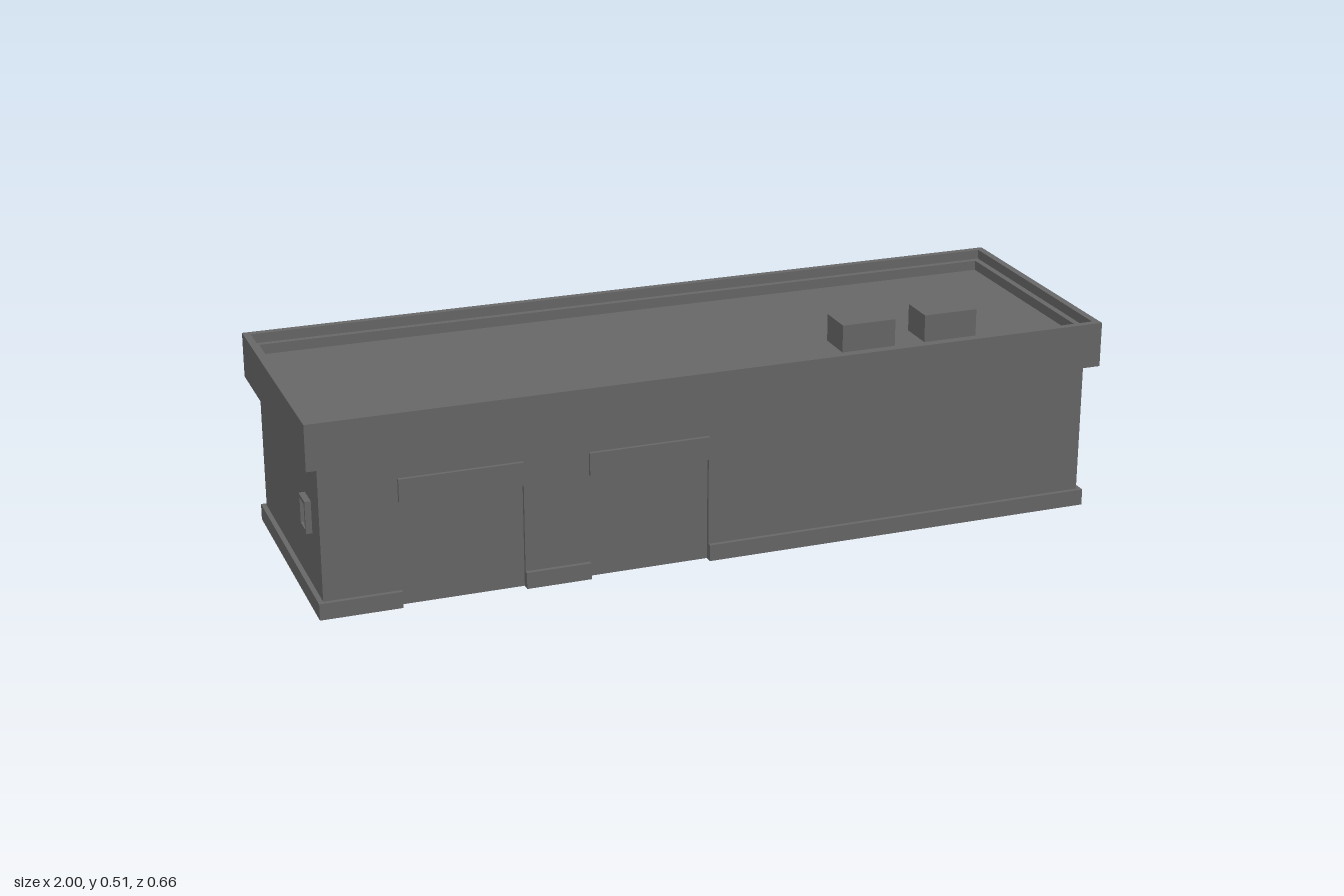
import * as THREE from 'three';

const material = new THREE.MeshStandardMaterial({ color: 0x666666, flatShading: true, side: THREE.DoubleSide });

export function createModel() {
  const model = new THREE.Group();
  model.name = 'building';

  const add = (name, geometry) => {
    const mesh = new THREE.Mesh(geometry, material);
    mesh.name = name;
    model.add(mesh);
    return mesh;
  };
  // Box given by its limits on each axis
  const box = (name, x0, x1, y0, y1, z0, z1) =>
    add(name, new THREE.BoxGeometry(x1 - x0, y1 - y0, z1 - z0))
      .position.set((x0 + x1) / 2, (y0 + y1) / 2, (z0 + z1) / 2);
  // Anticlockwise rectangle as points
  const rect = (x0, x1, y0, y1) =>
    [[x0, y0], [x1, y0], [x1, y1], [x0, y1]].map(([x, y]) => new THREE.Vector2(x, y));
  // Rectangular frame with a rectangular hole, border wide
  const frame = (x0, x1, y0, y1, border, depth) => {
    const shape = new THREE.Shape(rect(x0, x1, y0, y1));
    shape.holes.push(new THREE.Path(rect(x0 + border, x1 - border, y0 + border, y1 - border)));
    return extrude(shape, depth);
  };
  const extrude = (shape, depth) => new THREE.ExtrudeGeometry(shape, { depth, bevelEnabled: false });

  const W = 0.97, D = 0.303, T = 0.015, END_T = 0.005, WALL_TOP = 0.376;

  // Long wall: doorways are notches from the ground, windows are holes
  const longWall = (name, z, doors, windows) => {
    const shape = new THREE.Shape();
    shape.moveTo(-W, 0);
    for (const [x0, x1, top] of doors) {
      shape.lineTo(x0, 0);
      shape.lineTo(x0, top);
      shape.lineTo(x1, top);
      shape.lineTo(x1, 0);
    }
    shape.lineTo(W, 0);
    shape.lineTo(W, WALL_TOP);
    shape.lineTo(-W, WALL_TOP);
    for (const [x0, x1, y0, y1] of windows) shape.holes.push(new THREE.Path(rect(x0, x1, y0, y1)));
    add(name, extrude(shape, T)).position.z = z;
  };

  // Front wall with two shutter doors
  const frontDoors = [[-0.785, -0.485, 0.32], [-0.325, -0.025, 0.32]];
  longWall('frontWall', D - T, frontDoors, []);
  for (const [x0, x1, top] of frontDoors) {
    box('shutterDoor', x0, x1, 0, 0.264, D - T - 0.003, D - 0.009);
    box('shutterBox', x0, x1, 0.263, top, D - T - 0.008, 0.312);
  }

  // Back wall: four windows around a central doorway, each under a header
  const bay = 0.154, bayTop = 0.356, headerBottom = 0.305, sill = 0.072;
  const windowCentres = [-0.75, -0.375, 0.375, 0.75];
  longWall('backWall', -D, [[-bay, bay, bayTop]], windowCentres.map((x) => [x - bay, x + bay, sill, bayTop]));
  for (const x of [...windowCentres, 0]) {
    const bottom = x === 0 ? 0 : sill;
    box(x === 0 ? 'backDoor' : 'backWindow', x - bay, x + bay, bottom, headerBottom, -D + 0.012, -D + T + 0.003);
    box('bayHeader', x - bay, x + bay, headerBottom, bayTop, -D - 0.002, -D + T + 0.008);
  }

  // End walls
  box('leftEndWall', W - END_T, W, 0, WALL_TOP, -D + T, D - T);
  box('rightEndWall', -W, -W + END_T, 0, WALL_TOP, -D + T, D - T);

  // Small windows: two plain ones on the left end, a framed one on the right end
  for (const z of [0.02, 0.159]) box('leftWindow', 0.96, 0.98, 0.24, 0.32, z, z + 0.076);
  const rightFrame = add('rightWindowFrame', frame(0.165, 0.225, 0.18, 0.26, 0.009, 0.025));
  rightFrame.rotation.y = -Math.PI / 2;
  rightFrame.position.x = -0.96;
  box('rightWindowPane', -0.975, -0.964, 0.189, 0.251, 0.174, 0.216);

  // Plinth, broken at the doorways
  const PX = 0.982, PZ = 0.314, PH = 0.041;
  for (const [x0, x1] of [[-PX, -0.785], [-0.485, -0.325], [-0.025, PX]])
    box('frontPlinth', x0, x1, 0, PH, D, PZ);
  for (const [x0, x1] of [[-PX, -bay], [bay, PX]])
    box('backPlinth', x0, x1, 0, PH, -PZ, -D);
  box('leftPlinth', W, PX, 0, PH, -D, D);
  box('rightPlinth', -PX, -W, 0, PH, -D, D);

  // Roof slab with a raised parapet and an inner ledge
  const RX = 1, RZ = 0.331, ROOF = 0.44, EAVES = 0.376;
  const ring = (name, inset, border, top) => {
    const mesh = add(name, frame(-RX + inset, RX - inset, -RZ + inset, RZ - inset, border, top - EAVES));
    mesh.rotation.x = -Math.PI / 2;
    mesh.position.y = EAVES;
  };
  ring('parapet', 0, 0.018, 0.489);
  ring('roofLedge', 0.018, 0.016, 0.465);
  box('roof', -RX + 0.034, RX - 0.034, EAVES, ROOF, -RZ + 0.034, RZ - 0.034);

  // Roof units
  for (const x of [0.37, 0.59]) box('roofUnit', x, x + 0.14, ROOF, 0.509, 0.088, 0.182);

  return model;
}
